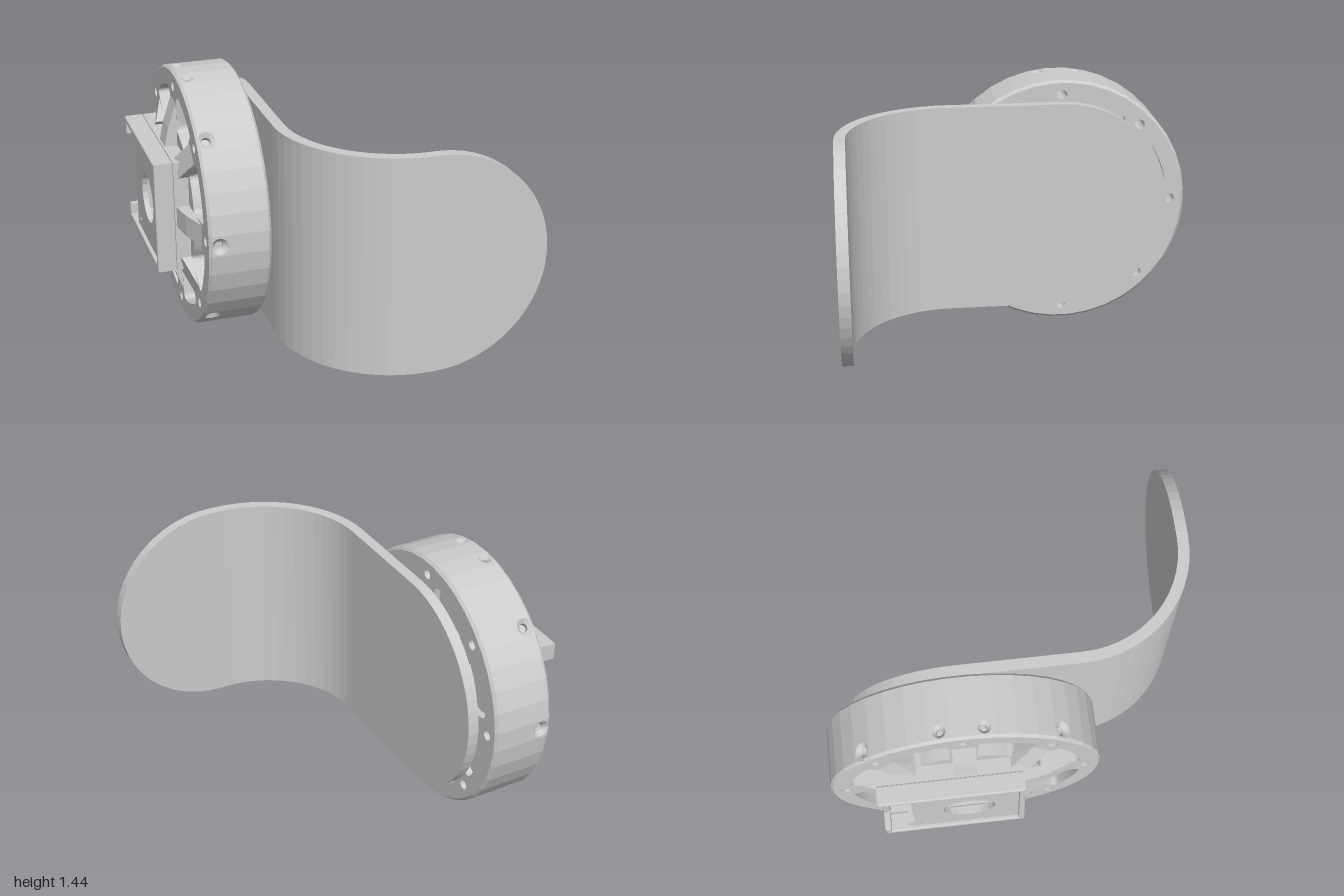
import * as THREE from 'three';
import { mergeGeometries } from 'three/addons/utils/BufferGeometryUtils.js';

const RAD = Math.PI / 180;
const SIDES = 40, STEP = 360 / SIDES, R = 0.72;
const mat = new THREE.MeshStandardMaterial({ color: 0xcccccc, flatShading: true, side: THREE.DoubleSide });

function add(parent, geometry, name) {
  const mesh = new THREE.Mesh(geometry, mat);
  mesh.name = name;
  parent.add(mesh);
  return mesh;
}

const polar = (r, deg) => [r * Math.cos(deg * RAD), r * Math.sin(deg * RAD)];

function circle(r, x = 0, y = 0, Type = THREE.Path) {
  const path = new Type();
  const pts = [];
  const n = r > 0.2 ? SIDES : 20;
  for (let i = 0; i < n; i++) {
    const [px, py] = polar(r, (i + 0.5) * 360 / n);
    pts.push(new THREE.Vector2(x + px, y + py));
  }
  return path.setFromPoints(pts);
}

// Annular pocket with rounded corners
function pocket(r0, r1, a0, a1) {
  const p = new THREE.Path(), c = 0.035, d1 = c / r1 / RAD, d0 = c / r0 / RAD;
  p.moveTo(...polar(r1, a0 + d1));
  p.absarc(0, 0, r1, (a0 + d1) * RAD, (a1 - d1) * RAD, false);
  p.quadraticCurveTo(...polar(r1, a1), ...polar(r1 - c, a1));
  p.lineTo(...polar(r0 + c, a1));
  p.quadraticCurveTo(...polar(r0, a1), ...polar(r0, a1 - d0));
  p.absarc(0, 0, r0, (a1 - d0) * RAD, (a0 + d0) * RAD, true);
  p.quadraticCurveTo(...polar(r0, a0), ...polar(r0 + c, a0));
  p.lineTo(...polar(r1 - c, a0));
  p.quadraticCurveTo(...polar(r1, a0), ...polar(r1, a0 + d1));
  return p;
}

function slab(shape, w0, w1, bevel = 0) {
  const g = new THREE.ExtrudeGeometry(shape, {
    depth: w1 - w0 - 2 * bevel, curveSegments: 10, bevelEnabled: bevel > 0,
    bevelSize: bevel, bevelThickness: bevel, bevelOffset: -bevel, bevelSegments: 2,
  });
  return g.translate(0, 0, w0 + bevel);
}

function polygon(points, Type = THREE.Shape) {
  return new Type().setFromPoints(points.map(([x, y]) => new THREE.Vector2(x, y)));
}

// Disc layer with bore, bolt holes and optional pockets
function discLayer(pocketInner) {
  const s = circle(0.675, 0, 0, THREE.Shape);
  s.holes.push(circle(0.25));
  for (let a = 0; a < 360; a += 45) {
    s.holes.push(circle(0.028, ...polar(0.635, a)));
    if (pocketInner) s.holes.push(pocket(pocketInner, 0.615, a + 7.5, a + 37.5));
  }
  return s;
}

function lathe(profile, segments = SIDES) {
  const pts = profile.map(([r, w]) => new THREE.Vector2(r, w));
  return new THREE.LatheGeometry(pts, segments, STEP / 2 * RAD).rotateX(Math.PI / 2);
}

// Faceted rim wall with countersunk radial holes
function buildRim(parent) {
  const holes = new Map([0, 45, 135, 180, 225, 270, 315].map(a => [a, 0.047]));
  holes.set(81, 0.034).set(99, 0.034);
  const half = R * Math.sin(STEP / 2 * RAD), apothem = R * Math.cos(STEP / 2 * RAD);
  const panels = [], sinks = [];
  for (let i = 0; i < SIDES; i++) {
    const a = i * STEP, [c, s] = polar(1, a);
    const m = new THREE.Matrix4().makeBasis(
      new THREE.Vector3(-s, c, 0), new THREE.Vector3(0, 0, 1), new THREE.Vector3(c, s, 0));
    m.setPosition(c * apothem, s * apothem, 0);
    const shape = polygon([[-half, -0.705], [half, -0.705], [half, -0.4], [-half, -0.4]]);
    const r = holes.get(a);
    if (r) {
      shape.holes.push(circle(r, 0, -0.665));
      sinks.push(lathe([[r, 0], [r * 0.5, -0.02], [r * 0.5, -0.045]], 20)
        .translate(0, -0.665, 0).applyMatrix4(m));
    }
    panels.push(new THREE.ShapeGeometry(shape).applyMatrix4(m));
  }
  add(parent, mergeGeometries(panels), 'rimWall');
  add(parent, mergeGeometries(sinks), 'rimScrewHoles');
  add(parent, lathe([[0.675, -0.385], [0.705, -0.385], [R, -0.4]]), 'rimFrontEdge');
  add(parent, lathe([[R, -0.705], [0.708, -0.72], [0.675, -0.72]]), 'rimBackEdge');
}

// Sloping ribs between the back pockets, starting at the housing wall
function buildRibs(parent) {
  const starts = [0.44, 0.42, 0.29, 0.39, 0.27, 0.39, 0.29, 0.42];
  starts.forEach((r0, i) => {
    const top = r => -0.72 - 0.075 * Math.min(1, (0.56 - r) / 0.22);
    const profile = polygon([[r0, -0.7], [0.56, -0.7], [0.56, -0.72],
      [(r0 + 0.56) / 2, top((r0 + 0.56) / 2)], [r0, top(r0)]]);
    const g = slab(profile, -0.06, 0.06).rotateX(Math.PI / 2);
    add(parent, g.rotateZ(i * 45 * RAD), 'backRib');
  });
}

// Open rectangular housing with an inner mounting plate
function buildHousing(parent) {
  const base = polygon([[-0.295, -0.315], [0.465, -0.315], [0.465, 0.315], [-0.295, 0.315]]);
  base.holes.push(polygon([[-0.262, -0.282], [0.432, -0.282], [0.432, 0.282], [-0.262, 0.282]], THREE.Path));
  add(parent, slab(base, -0.8, -0.715), 'housingBase');

  const frame = polygon([[-0.295, -0.315], [0.465, -0.315], [0.465, -0.22], [0.432, -0.22],
    [0.432, -0.282], [-0.262, -0.282], [-0.262, 0.282], [0.432, 0.282],
    [0.432, 0.22], [0.465, 0.22], [0.465, 0.315], [-0.295, 0.315]]);
  add(parent, slab(frame, -0.905, -0.8, 0.008), 'housingFrame');

  const plate = polygon([[-0.27, -0.285], [0.3, -0.285], [0.3, 0.17], [0.2, 0.285], [-0.27, 0.285]]);
  plate.holes.push(circle(0.14));
  for (const [x, y] of [[-0.22, -0.23], [-0.22, 0.23], [0.24, -0.23]]) plate.holes.push(circle(0.014, x, y));
  add(parent, slab(plate, -0.885, -0.855), 'mountingPlate');

  // Corner block beside the side opening
  add(parent, new THREE.BoxGeometry(0.07, 0.07, 0.16).translate(0.3, -0.25, -0.8), 'cornerBlock');
}

// Curved plate: sections swept through a straight, a quarter bend and a straight
function curvedPlate() {
  const stations = [], H = 0.6, N = 14;
  const bend = { x: 0.275, z: 0.37, outer: 0.63, inner: 0.57 };
  const put = (xo, zo, xi, zi, h) => stations.push(
    [[xo, h, zo], [xo, -h, zo], [xi, -h, zi], [xi, h, zi]]);
  for (let i = 0; i <= N; i++) {
    const a = i / N * Math.PI / 2, z = -0.28 - H * Math.cos(a);
    put(-0.355, z, -0.295, z, H * Math.sin(a));
  }
  for (let i = 0; i <= N; i++) {
    const a = i / N * Math.PI / 2, c = Math.cos(a), s = Math.sin(a);
    put(bend.x - bend.outer * c, bend.z + bend.outer * s,
      bend.x - bend.inner * c, bend.z + bend.inner * s, H);
  }
  for (let i = 0; i <= N; i++) {
    const a = i / N * Math.PI / 2, x = 0.305 + H * Math.sin(a);
    put(x, 1, x, 0.94, H * Math.cos(a));
  }
  const pos = [];
  for (let i = 0; i + 1 < stations.length; i++) {
    const p = stations[i], q = stations[i + 1];
    for (let k = 0; k < 4; k++) {
      const n = (k + 1) % 4;
      for (const v of [p[k], p[n], q[n], p[k], q[n], q[k]]) pos.push(v[0], v[1] + 0.725, v[2]);
    }
  }
  const g = new THREE.BufferGeometry();
  g.setAttribute('position', new THREE.Float32BufferAttribute(pos, 3));
  g.computeVertexNormals();
  return g;
}

export function createModel() {
  const model = new THREE.Group();
  model.name = 'discMountWithCurvedPlate';

  // Disc assembly is drawn with its axis on local z, then turned onto x
  const disc = new THREE.Group();
  disc.name = 'discAssembly';
  disc.rotation.y = Math.PI / 2;
  disc.position.set(0, 0.722, -0.28);
  model.add(disc);

  add(disc, slab(discLayer(0.48), -0.425, -0.385), 'discFrontLayer');
  add(disc, slab(discLayer(0), -0.63, -0.425), 'discCore');
  add(disc, slab(discLayer(0.4), -0.72, -0.63), 'discBackLayer');
  buildRim(disc);
  buildRibs(disc);
  buildHousing(disc);
  add(disc, lathe([[0.25, -0.385], [0.25, -0.355], [0.435, -0.355], [0.45, -0.367], [0.45, -0.385]]), 'frontHubRing');

  add(model, curvedPlate(), 'curvedPlate');
  return model;
}
